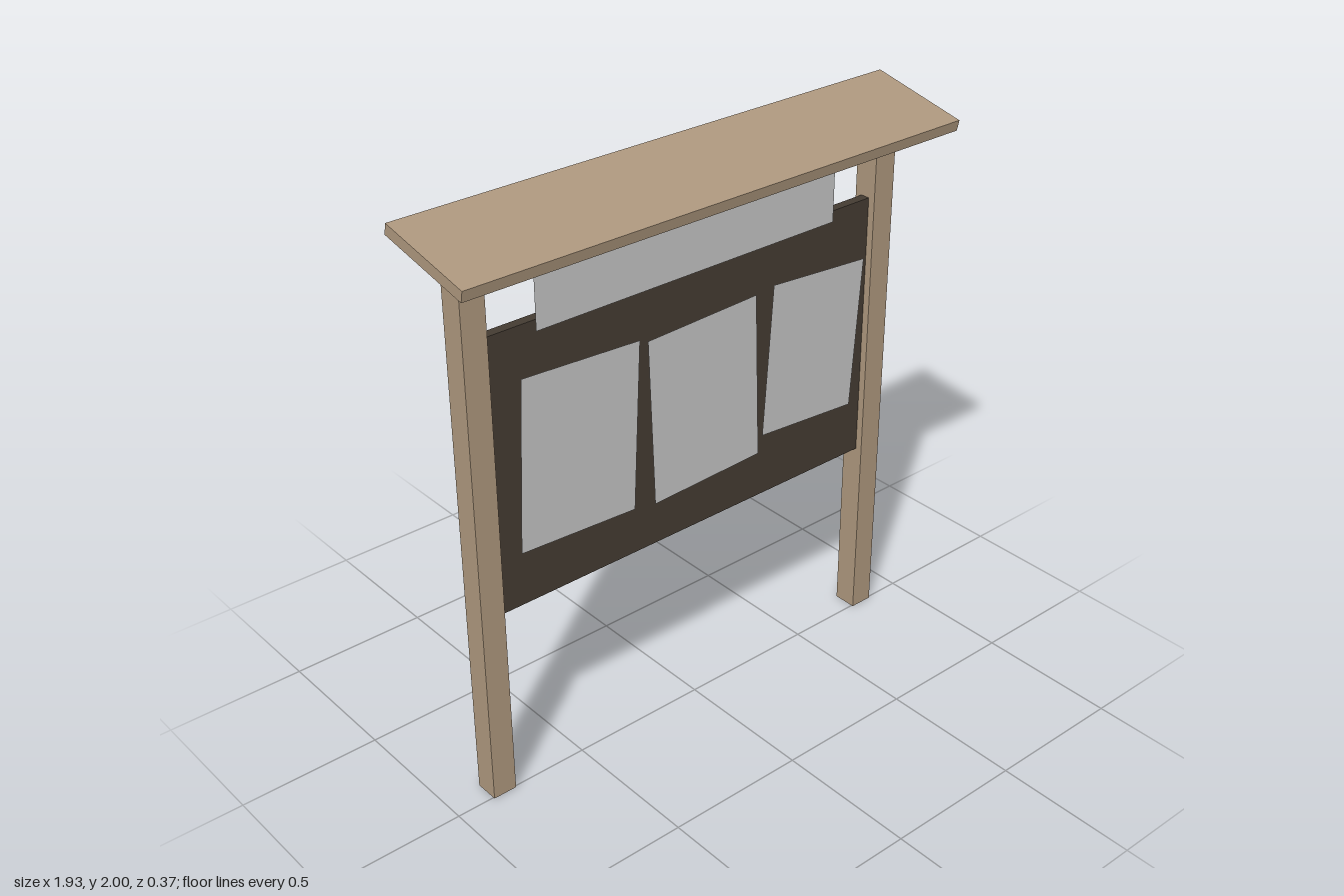
import * as THREE from 'three';

export function createModel() {
  const model = new THREE.Group();
  model.name = 'noticeBoard';

  const wood = new THREE.MeshStandardMaterial({ color: 0xad977d });
  wood.name = 'wood';
  const darkWood = new THREE.MeshStandardMaterial({ color: 0x443b32 });
  darkWood.name = 'darkWood';
  const paper = new THREE.MeshStandardMaterial({ color: 0xc4c4c4, side: THREE.DoubleSide });
  paper.name = 'paper';

  const add = (name, geometry, material, x, y, z) => {
    const mesh = new THREE.Mesh(geometry, material);
    mesh.name = name;
    mesh.position.set(x, y, z);
    model.add(mesh);
    return mesh;
  };

  // Two square posts
  const postZ = -0.037;
  for (const [name, side] of [['leftPost', 1], ['rightPost', -1]]) {
    add(name, new THREE.BoxGeometry(0.086, 1.866, 0.086), wood, side * 0.821, 0.933, postZ);
  }

  // Board held between the posts
  add('board', new THREE.BoxGeometry(1.558, 0.964, 0.034), darkWood, 0, 1.159, postZ);

  // Roof plank, sloping down towards the front
  const roof = add('roof', new THREE.BoxGeometry(1.932, 0.038, 0.368), wood, 0, 1.942, 0);
  roof.rotation.x = THREE.MathUtils.degToRad(11.8);

  // Header sheet hanging under the roof
  add('headerSheet', new THREE.PlaneGeometry(1.2, 0.3), paper, 0, 1.76, -0.006);

  // Pinned notices: x, y, width, height, tilt in degrees
  const notices = [
    [-0.449, 1.158, 0.449, 0.6, -3],
    [0.059, 1.139, 0.451, 0.6, 2],
    [0.537, 1.169, 0.412, 0.548, -4],
  ];
  notices.forEach(([x, y, w, h, tilt], i) => {
    const notice = add(`notice${i + 1}`, new THREE.PlaneGeometry(w, h), paper, x, y, -0.014);
    notice.rotation.z = THREE.MathUtils.degToRad(tilt);
  });

  return model;
}
